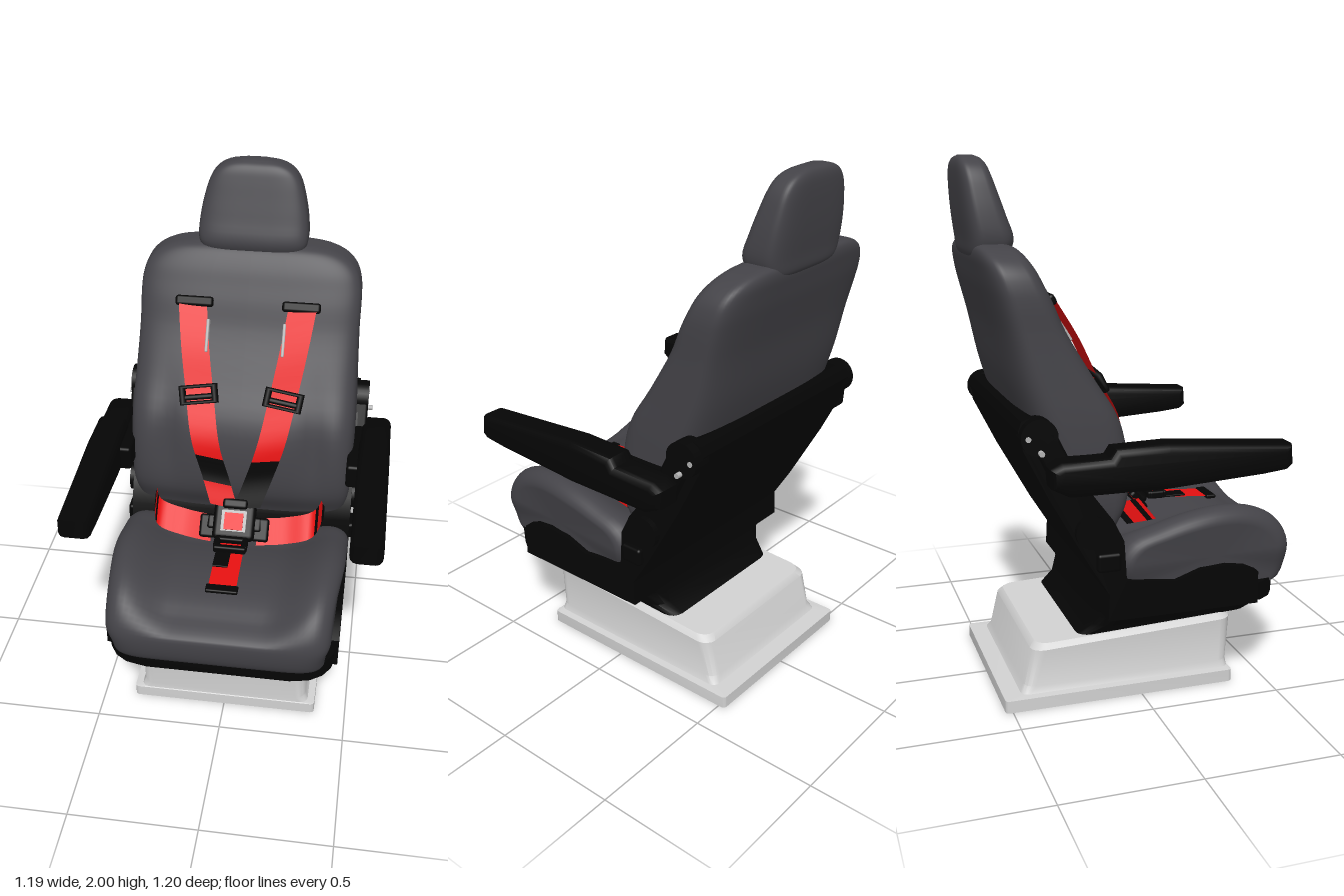
import * as THREE from 'three';
import { toCreasedNormals } from 'three/addons/utils/BufferGeometryUtils.js';
import { RoundedBoxGeometry } from 'three/addons/geometries/RoundedBoxGeometry.js';

const paint = (name, color) => {
  const m = new THREE.MeshStandardMaterial({ color, side: THREE.DoubleSide });
  m.name = name;
  return m;
};
const { smoothstep, clamp } = THREE.MathUtils;

// Skin a stack of equal-length closed rings, closing both ends; winding is made outward.
function loft(rings) {
  const n = rings[0].length, pos = [], idx = [];
  rings.forEach(r => r.forEach(p => pos.push(...p)));
  for (let i = 0; i < rings.length - 1; i++) for (let j = 0; j < n; j++) {
    const a = i * n + j, b = i * n + (j + 1) % n;
    idx.push(a, b, b + n, a, b + n, a + n);
  }
  [[0, true], [rings.length - 1, false]].forEach(([k, flip]) => {
    const c = pos.length / 3;
    pos.push(...[0, 1, 2].map(d => rings[k].reduce((s, p) => s + p[d], 0) / n));
    for (let j = 0; j < n; j++) {
      const a = k * n + j, b = k * n + (j + 1) % n;
      flip ? idx.push(c, b, a) : idx.push(c, a, b);
    }
  });
  const v = i => new THREE.Vector3(pos[3 * i], pos[3 * i + 1], pos[3 * i + 2]);
  let vol = 0;
  for (let i = 0; i < idx.length; i += 3) vol += v(idx[i]).dot(v(idx[i + 1]).cross(v(idx[i + 2])));
  if (vol < 0) idx.reverse();
  const g = new THREE.BufferGeometry();
  g.setAttribute('position', new THREE.Float32BufferAttribute(pos, 3));
  g.setIndex(idx);
  g.computeVertexNormals();
  return g;
}

// Soft upholstery: rows of [y, halfWidth, zFront, zBack], smoothed, with squarish sections.
function pad(rows, power, dip = () => 0) {
  const A = new THREE.CatmullRomCurve3(rows.map(r => new THREE.Vector3(r[1], r[0], r[2])));
  const B = new THREE.CatmullRomCurve3(rows.map(r => new THREE.Vector3(r[1], r[0], r[3])));
  const bend = c => Math.sign(c) * Math.abs(c) ** (2 / power);
  const rings = [], steps = (rows.length - 1) * 4;
  for (let i = 0; i <= steps; i++) {
    const f = A.getPoint(i / steps), b = B.getPoint(i / steps), ring = [];
    for (let j = 0; j < 64; j++) {
      const t = j / 64 * Math.PI * 2, x = f.x * bend(Math.cos(t)), s = bend(Math.sin(t));
      ring.push([x, f.y, (f.z + b.z) / 2 + s * (f.z - b.z) / 2 - (s > 0 ? s * dip(x, f.y) : 0)]);
    }
    rings.push(ring);
  }
  return loft(rings);
}

// Rounded rectangle ring in the ground plane.
function plateRing(y, hx, zf, zb, r, tilt = 0) {
  const ring = [];
  [[1, 1], [-1, 1], [-1, -1], [1, -1]].forEach(([sx, sz], q) => {
    for (let k = 0; k <= 4; k++) {
      const a = (q + k / 4) * Math.PI / 2;
      const z = (sz > 0 ? zf - r : zb + r) + r * Math.sin(a);
      ring.push([sx * (hx - r) + r * Math.cos(a), y + tilt * z, z]);
    }
  });
  return ring;
}

// Flat webbing along a path between two fractions of its length.
function webbing(points, wide, from, to) {
  const curve = new THREE.CatmullRomCurve3(points.map(p => new THREE.Vector3(...p)));
  const w = new THREE.Vector3(...wide).multiplyScalar(0.5), pos = [], idx = [], n = 14;
  for (let i = 0; i <= n; i++) {
    const p = curve.getPointAt(from + (to - from) * i / n);
    pos.push(...p.clone().sub(w).toArray(), ...p.clone().add(w).toArray());
    if (i < n) idx.push(2 * i, 2 * i + 2, 2 * i + 1, 2 * i + 1, 2 * i + 2, 2 * i + 3);
  }
  const g = new THREE.BufferGeometry();
  g.setAttribute('position', new THREE.Float32BufferAttribute(pos, 3));
  g.setIndex(idx);
  g.computeVertexNormals();
  return g;
}

// Side outline of [z, y] points extruded across x from x0 to x1.
function sidePlate(outline, x0, x1, bevel) {
  const shape = new THREE.Shape(outline.map(([z, y]) => new THREE.Vector2(-z, y)));
  const g = new THREE.ExtrudeGeometry(shape, {
    depth: x1 - x0 - 2 * bevel, bevelEnabled: bevel > 0, bevelSize: bevel,
    bevelThickness: bevel, bevelOffset: -bevel, bevelSegments: 3,
  });
  return g.translate(0, 0, x0 + bevel).rotateY(Math.PI / 2);
}

export function createModel() {
  const fabric = paint('grey upholstery', 0x444348), black = paint('black plastic', 0x050505);
  const red = paint('red webbing', 0xe61010), steel = paint('steel', 0xb4b4b4);
  const white = paint('pale base', 0xd2d2d2);
  const model = new THREE.Group();
  const add = (name, geo, mat, pos = [0, 0, 0], rot = [0, 0, 0]) => {
    const m = new THREE.Mesh(geo, mat);
    m.name = name;
    m.position.set(...pos);
    m.rotation.set(...rot);
    model.add(m);
  };
  const block = (w, h, d, r = 0.012) => new RoundedBoxGeometry(w, h, d, 3, r);
  const disc = (r, w) => new THREE.CylinderGeometry(r, r, w, 28).rotateZ(Math.PI / 2);

  // Pedestal with a flange, hollow underneath
  add('pedestal', toCreasedNormals(loft([
    plateRing(0.17, 0.22, 0.25, -0.3, 0.05),
    plateRing(0.012, 0.335, 0.33, -0.485, 0.02),
    plateRing(0, 0.34, 0.337, -0.493, 0.02),
    plateRing(0, 0.373, 0.37, -0.527, 0.015),
    plateRing(0.047, 0.373, 0.37, -0.527, 0.015),
    plateRing(0.05, 0.345, 0.367, -0.46, 0.03),
    plateRing(0.075, 0.335, 0.367, -0.445, 0.04),
    plateRing(0.23, 0.337, 0.383, -0.415, 0.05, 0.045),
    plateRing(0.25, 0.32, 0.37, -0.395, 0.05, 0.045),
  ]), 0.6), white);

  // Bucket shell: side and back body over a tray that narrows toward the pedestal
  add('seatShell', toCreasedNormals(sidePlate([
    [0.43, 0.475], [0.43, 0.35], [-0.16, 0.35], [-0.155, 0.45], [-0.23, 0.57], [-0.37, 0.82], [-0.465, 1.01],
    [-0.482, 1.08], [-0.47, 1.115], [-0.44, 1.125], [-0.4, 1.11], [-0.35, 1.06], [-0.26, 0.89], [-0.14, 0.73],
    [-0.1, 0.65], [-0.09, 0.5], [0.1, 0.475], [0.2, 0.51], [0.3, 0.515], [0.38, 0.5]], -0.457, 0.457, 0), 0.5), black);
  add('seatTray', toCreasedNormals(loft([
    plateRing(0.247, 0.31, 0.46, -0.235, 0.05, 0.045),
    plateRing(0.285, 0.345, 0.495, -0.18, 0.07, 0.03),
    plateRing(0.335, 0.4, 0.53, -0.162, 0.12),
    plateRing(0.352, 0.445, 0.54, -0.158, 0.14),
    plateRing(0.425, 0.45, 0.54, -0.15, 0.14),
  ]), 0.6), black);

  // Seat cushion: side profile swept across the width with raised side bolsters
  const profile = new THREE.CatmullRomCurve3([
    [0.6, 0.52], [0.585, 0.6], [0.52, 0.68], [0.42, 0.725], [0.3, 0.738], [0.18, 0.725], [0.05, 0.69], [-0.08, 0.64],
    [-0.13, 0.56], [-0.1, 0.46], [0.15, 0.44], [0.4, 0.43], [0.52, 0.405], [0.575, 0.425],
  ].map(([z, y]) => new THREE.Vector3(0, y, z)), true).getPoints(56).slice(0, -1);
  const slices = [];
  for (let i = 0; i <= 40; i++) {
    const x = 0.458 * Math.sin((i / 20 - 1) * Math.PI / 2), a = Math.abs(x) / 0.458;
    const s = 0.64 + 0.36 * Math.sqrt(Math.max(0, 1 - a ** 9));
    const dip = 0.095 * (1 - smoothstep(Math.abs(x), 0.18, 0.42));
    slices.push(profile.map(p => [
      x * (1 - 0.06 * smoothstep(p.z, 0.15, 0.6)) * (0.95 + 0.05 * smoothstep(p.y, 0.45, 0.55)),
      p.y + Math.max(0, p.y - 0.54) * (s - 1) - dip * clamp((p.y - 0.55) / 0.14, 0, 1),
      0.2 + (p.z - 0.2) * (0.4 + 0.6 * s)]));
  }
  add('seatCushion', loft(slices), fabric);

  // Backrest with a shallow crease inside each bolster, and headrest
  add('backrest', pad([
    [0.6, 0.36, -0.13, -0.22], [0.68, 0.42, -0.1, -0.25], [0.78, 0.445, -0.05, -0.3], [0.92, 0.45, -0.04, -0.37],
    [1.08, 0.45, -0.07, -0.43], [1.23, 0.443, -0.165, -0.475], [1.4, 0.437, -0.27, -0.51], [1.5, 0.437, -0.315, -0.535],
    [1.56, 0.432, -0.345, -0.55], [1.61, 0.416, -0.37, -0.56], [1.65, 0.38, -0.395, -0.567], [1.68, 0.315, -0.42, -0.565],
    [1.695, 0.22, -0.45, -0.55],
  ], 4.5, (x, y) => 0.03 * Math.exp(-(((Math.abs(x) - 0.29) / 0.06) ** 2) - ((y - 0.98) / 0.2) ** 2)), fabric);
  add('headrest', pad([
    [1.645, 0.17, -0.46, -0.565], [1.665, 0.198, -0.425, -0.575], [1.71, 0.214, -0.41, -0.58], [1.79, 0.21, -0.435, -0.59],
    [1.87, 0.194, -0.462, -0.597], [1.93, 0.174, -0.482, -0.6], [1.965, 0.148, -0.495, -0.599], [1.987, 0.11, -0.51, -0.592],
    [2, 0.05, -0.535, -0.575],
  ], 4.2), fabric);

  // Armrests, hinges and harness, mirrored
  const armOutline = [[0.49, 0.995], [0.495, 0.92], [0.47, 0.9], [0.38, 0.89], [0.02, 0.867], [-0.33, 0.867],
    [-0.395, 0.9], [-0.4, 0.97], [-0.36, 0.99], [-0.19, 0.995], [-0.17, 1.025], [0.02, 1.03]];
  for (const s of [1, -1]) {
    const side = s > 0 ? 'left' : 'right';
    const x0 = s > 0 ? 0.472 : -0.595;
    add(side + 'Armrest', toCreasedNormals(sidePlate(armOutline, x0, x0 + 0.123, 0.028), 0.7), black);
    add(side + 'ArmMount', block(0.06, 0.1, 0.36), black, [s * 0.46, 0.93, -0.19]);
    add(side + 'ArmHinge', disc(0.066, 0.07), black, [s * 0.46, 1.062, -0.415]);
    add(side + 'ArmBracket', block(0.06, 0.2, 0.09), black, [s * 0.465, 0.98, -0.36], [-0.45, 0, 0]);
    add(side + 'HingeBolt', disc(0.01, 0.02), steel, [s * 0.488, 1.06, -0.455]);
    add(side + 'StopBolt', disc(0.01, 0.06), steel, [s * 0.485, 1.01, -0.412]);
    add(side + 'ReclineKnob', disc(0.06, 0.06), black, [s * 0.45, 0.7, -0.225]);
    add(side + 'SideLever', block(0.05, 0.07, 0.09), black, [s * 0.455, 0.58, -0.16]);

    // Shoulder strap
    const path = [[s * 0.215, 1.5, -0.3], [s * 0.192, 1.35, -0.205], [s * 0.165, 1.2, -0.128],
      [s * 0.13, 1.03, -0.032], [s * 0.085, 0.88, -0.008], [s * 0.045, 0.77, 0.035]];
    const wide = [0.112, s * 0.018, 0];
    const cuts = [[0, 0.74, red], [0.74, s > 0 ? 1 : 0.88, black]];
    if (s < 0) cuts.push([0.88, 1, red]);
    cuts.forEach(([a, b, m]) => add(side + 'ShoulderStrap', webbing(path, wide, a, b), m));
    add(side + 'StrapSlot', block(0.15, 0.04, 0.04), black, [s * 0.21, 1.5, -0.315], [-0.5, 0, 0]);
    add(side + 'StrapTongue', block(0.012, 0.13, 0.04, 0.005), steel, [s * 0.15, 1.385, -0.25], [-0.57, 0, 0]);
    add(side + 'StrapAdjuster', new THREE.TorusGeometry(0.06, 0.013, 8, 4).rotateZ(Math.PI / 4).scale(1.5, 0.75, 1.2),
      black, [s * 0.167, 1.195, -0.118], [-0.5, 0, -s * 0.15]);
    add(side + 'AdjusterBar', block(0.12, 0.022, 0.03, 0.01), black, [s * 0.167, 1.185, -0.115], [-0.5, 0, -s * 0.15]);

    // Lap strap, turning back around the hip
    const lap = [[s * 0.07, 0.68, 0.07], [s * 0.2, 0.685, 0.05], [s * 0.31, 0.715, 0.035], [s * 0.352, 0.72, -0.09]];
    [[0.06, 0.7, red], [0.7, 0.77, black], [0.77, 0.92, red], [0.92, 1, black]].forEach(([a, b, m]) =>
      add(side + 'LapStrap', webbing(lap, [0, 0.085, -0.068], a, b), m));
    add(side + 'LapTongue', block(0.07, 0.095, 0.03), black, [s * 0.105, 0.69, 0.065], [-0.7, 0, 0]);
  }

  // Crotch strap
  const crotch = [[0, 0.685, 0.1], [0, 0.672, 0.2], [0, 0.664, 0.3], [0, 0.655, 0.42]];
  [[0, 0.14, black], [0.14, 0.92, red]].forEach(([a, b, m]) =>
    add('crotchStrap', webbing(crotch, [0.108, 0, 0], a, b), m));
  add('crotchStrapPatch', block(0.06, 0.008, 0.09, 0.003), black, [-0.024, 0.672, 0.245]);
  add('crotchStrapEnd', block(0.125, 0.016, 0.04, 0.006), black, [0, 0.655, 0.4]);
  for (const z of [0.14, 0.195]) add('crotchAdjuster', block(0.13, 0.03, 0.025, 0.008), black, [0, 0.685, z]);
  for (const x of [-0.055, 0.055]) add('crotchAdjusterSide', block(0.025, 0.03, 0.06, 0.008), black, [x, 0.685, 0.167]);

  // Central buckle, leaning back
  const lean = -0.8;
  add('buckle', block(0.17, 0.15, 0.05, 0.02), black, [0, 0.715, 0.058], [lean, 0, 0]);
  add('buckleWing', block(0.22, 0.06, 0.035), black, [0, 0.705, 0.055], [lean, 0, 0]);
  add('buckleFrame', new THREE.BoxGeometry(0.1, 0.085, 0.008), steel, [0, 0.735, 0.078], [lean, 0, 0]);
  add('buckleButton', new THREE.BoxGeometry(0.075, 0.068, 0.009), red, [0, 0.737, 0.084], [lean, 0, 0]);
  add('buckleHood', block(0.1, 0.04, 0.05), black, [0, 0.775, 0.02], [lean, 0, 0]);
  return model;
}
